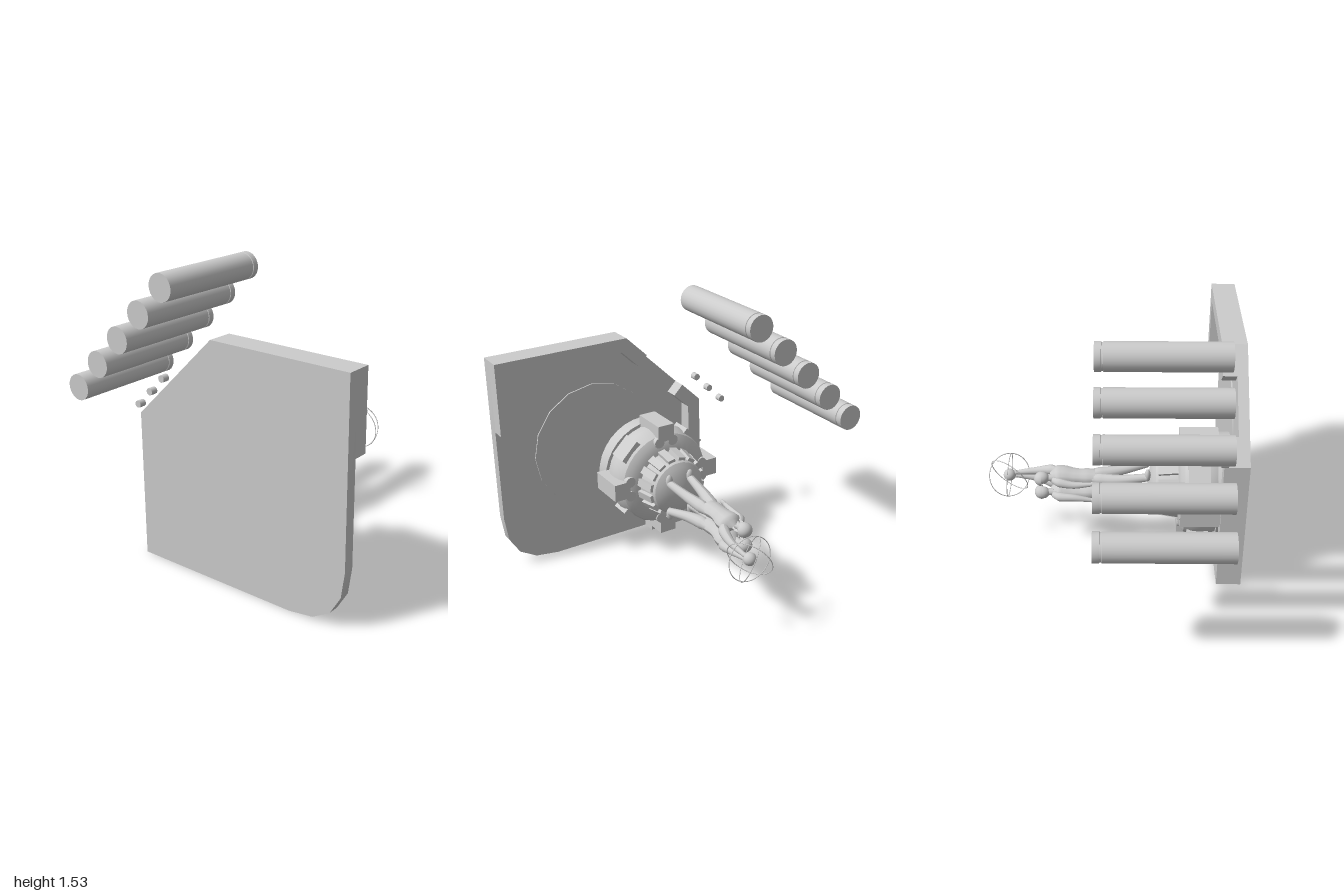
import * as THREE from 'three';
import { toCreasedNormals } from 'three/addons/utils/BufferGeometryUtils.js';

const grey = new THREE.MeshStandardMaterial({ color: 0xcccccc, side: THREE.DoubleSide });

function add(parent, name, geometry, x = 0, y = 0, z = 0) {
  const mesh = new THREE.Mesh(geometry, grey);
  mesh.name = name;
  mesh.position.set(x, y, z);
  parent.add(mesh);
  return mesh;
}

const vec2 = (list) => list.map(([x, y]) => new THREE.Vector2(x, y));

function slab(points, depth) {
  return toCreasedNormals(new THREE.ExtrudeGeometry(new THREE.Shape(vec2(points)),
    { depth, bevelEnabled: false }), 0.4);
}

function lathe(profile, sides) {
  return toCreasedNormals(new THREE.LatheGeometry(vec2(profile), sides), 0.5);
}

// Smooth limb: a tube whose rings follow a list of radii
function limb(points, radii, flat = 1) {
  const rings = 20, sides = 12;
  const path = new THREE.CatmullRomCurve3(points.map((p) => new THREE.Vector3(...p)));
  const geo = new THREE.TubeGeometry(path, rings, 1, sides);
  const pos = geo.attributes.position, v = new THREE.Vector3();
  for (let i = 0; i <= rings; i++) {
    const c = path.getPointAt(i / rings);
    const t = (i / rings) * (radii.length - 1), k = Math.min(Math.floor(t), radii.length - 2);
    const r = THREE.MathUtils.lerp(radii[k], radii[k + 1], t - k);
    for (let j = 0; j <= sides; j++) {
      const n = i * (sides + 1) + j;
      v.fromBufferAttribute(pos, n).sub(c).multiplyScalar(r);
      v.z *= flat;
      v.add(c);
      pos.setXYZ(n, v.x, v.y, v.z);
    }
  }
  geo.computeVertexNormals();
  return geo;
}

// Standing person facing +z with one arm raised
function person() {
  const g = new THREE.Group();
  g.name = 'person';
  for (const [hip, knee, foot] of [[-0.012, -0.035, -0.05], [0.045, 0.06, 0.09]]) {
    add(g, 'leg', limb([[hip, 0.14, 0.05], [hip, 0.09, 0.05], [knee, -0.03, 0.06], [foot, -0.2, 0.09]],
      [0.025, 0.037, 0.034, 0.029, 0.026, 0.023]));
    add(g, 'foot', new THREE.SphereGeometry(1, 12, 8), foot, -0.205, 0.105).scale.set(0.022, 0.018, 0.04);
  }
  add(g, 'torso', limb([[0.015, 0.1, 0.05], [0.015, 0.2, 0.053], [0.025, 0.29, 0.055], [0.022, 0.36, 0.05]],
    [0.055, 0.058, 0.054, 0.058, 0.067, 0.07, 0.02], 0.75));
  add(g, 'neck', new THREE.CylinderGeometry(0.018, 0.022, 0.06, 10), 0.0, 0.37, 0.05);
  add(g, 'head', new THREE.SphereGeometry(1, 16, 12), -0.004, 0.405, 0.052).scale.set(0.035, 0.042, 0.037);
  add(g, 'hair', new THREE.SphereGeometry(1, 14, 8, 0, Math.PI * 2, 0, 1.6), -0.004, 0.408, 0.046)
    .scale.set(0.045, 0.043, 0.042);
  add(g, 'raisedArm', limb([[0.06, 0.31, 0.05], [0.088, 0.35, 0.045], [0.108, 0.44, 0.025], [0.11, 0.57, 0.01]],
    [0.02, 0.031, 0.026, 0.021, 0.017, 0.012]));
  add(g, 'raisedHand', new THREE.SphereGeometry(1, 10, 8), 0.108, 0.572, 0.012).scale.set(0.015, 0.022, 0.012);
  add(g, 'loweredArm', limb([[-0.025, 0.34, 0.05], [-0.05, 0.3, 0.05], [-0.067, 0.22, 0.045], [-0.073, 0.12, 0.055]],
    [0.018, 0.027, 0.023, 0.02, 0.016, 0.012]));
  add(g, 'loweredHand', new THREE.SphereGeometry(1, 10, 8), -0.073, 0.105, 0.057).scale.set(0.011, 0.025, 0.015);
  return g;
}

export function createModel() {
  const model = new THREE.Group();
  model.name = 'monument';

  // Ground slab with one rounded corner and one cut corner
  const outline = [[-0.29, 0], [0.68, 0], [0.82, 0.02], [0.92, 0.08], [0.98, 0.18], [1, 0.32],
    [1, 1.29], [0.2, 1.29], [-0.29, 0.81]];
  add(model, 'groundSlab', slab(outline, 0.06), 0, 0, 0.68);

  // Two angled border walls with a gap in the cut corner
  add(model, 'farWall', slab([[0.07, 1.163], [0.127, 1.106], [0.233, 1.21], [0.92, 1.21], [0.92, 0.87],
    [1, 0.87], [1, 1.29], [0.2, 1.29]], 0.08), 0, 0, 0.6);
  add(model, 'nearWall', slab([[-0.17, 0.927], [-0.29, 0.81], [-0.29, 0], [0.07, 0], [0.07, 0.08],
    [-0.21, 0.08], [-0.21, 0.777], [-0.113, 0.87]], 0.08), 0, 0, 0.6);
  const disc = add(model, 'floorDisc', new THREE.CylinderGeometry(0.38, 0.38, 0.01, 16), 0.4, 0.65, 0.677);
  disc.rotation.x = Math.PI / 2;

  // Row of columns and short posts along the cut corner
  const column = lathe([[0, -0.61], [0.077, -0.61], [0.077, 0.038], [0.073, 0.04], [0.073, 0.048],
    [0.077, 0.05], [0.077, 0.085], [0, 0.085]], 24);
  for (let i = 0; i < 5; i++) {
    add(model, 'column', column, -0.92 + i * 0.1675, 0.777 + i * 0.1685).rotation.x = -Math.PI / 2;
  }
  for (let i = 0; i < 3; i++) {
    add(model, 'post', new THREE.CylinderGeometry(0.02, 0.02, 0.04, 14), -0.44 + i * 0.09, 0.785 + i * 0.09, 0.595)
      .rotation.x = Math.PI / 2;
  }

  // Statue, built upright and laid along -z
  const statue = new THREE.Group();
  statue.name = 'statue';
  statue.position.set(0.08, 0.45, 0);
  statue.rotation.x = -Math.PI / 2;
  model.add(statue);

  add(statue, 'drum', lathe([[0, -0.68], [0.3, -0.68], [0.3, -0.59], [0.28, -0.59], [0.297, -0.55], [0.303, -0.5],
    [0.297, -0.45], [0.28, -0.41], [0.25, -0.39], [0.2, -0.375], [0, -0.375]], 32));
  add(statue, 'fluteCore', lathe([[0.185, -0.38], [0.165, -0.26], [0.16, -0.25], [0.135, -0.235],
    [0.09, -0.218], [0, -0.205]], 32));

  // Ribs around the upper cone
  for (let i = 0; i < 16; i++) {
    const spoke = new THREE.Group();
    spoke.name = 'rib';
    spoke.rotation.y = (i + 0.5) * Math.PI / 8;
    statue.add(spoke);
    add(spoke, 'ribPanel', new THREE.BoxGeometry(0.045, 0.115, 0.025), 0, -0.322, 0.182).rotation.x = -0.17;
  }

  // Four buttresses with two inner lobes, and four panels between them
  for (let i = 0; i < 4; i++) {
    const side = new THREE.Group();
    side.name = 'drumSide';
    side.rotation.y = i * Math.PI / 2;
    statue.add(side);
    add(side, 'buttress', new THREE.BoxGeometry(0.105, 0.22, 0.1), 0, -0.49, 0.3);
    for (const s of [-1, 1]) {
      add(side, 'buttressLobe', new THREE.CylinderGeometry(0.032, 0.032, 0.22, 14), s * 0.045, -0.49, 0.245);
    }
    const bay = new THREE.Group();
    bay.name = 'panelBay';
    bay.rotation.y = Math.PI / 4;
    side.add(bay);
    add(bay, 'panel', new THREE.BoxGeometry(0.14, 0.12, 0.04), 0, -0.487, 0.293);
  }

  // Two people back to back, lifting the globe together
  for (const s of [1, -1]) {
    const p = person();
    p.position.z = -0.02;
    p.scale.z = s;
    statue.add(p);
  }

  // Globe circled by three thin orbits
  const globe = new THREE.Group();
  globe.name = 'globe';
  globe.position.set(0.1, 0.605, -0.02);
  statue.add(globe);
  add(globe, 'sphere', new THREE.SphereGeometry(0.036, 20, 14));
  const forward = new THREE.Vector3(0, 0, 1);
  for (const n of [[0.04, 1, 0.06], [0.75, -0.5, 0.4], [-0.75, -0.45, 0.4]]) {
    add(globe, 'orbit', new THREE.TorusGeometry(0.127, 0.0025, 6, 48))
      .quaternion.setFromUnitVectors(forward, new THREE.Vector3(...n).normalize());
  }
  return model;
}
